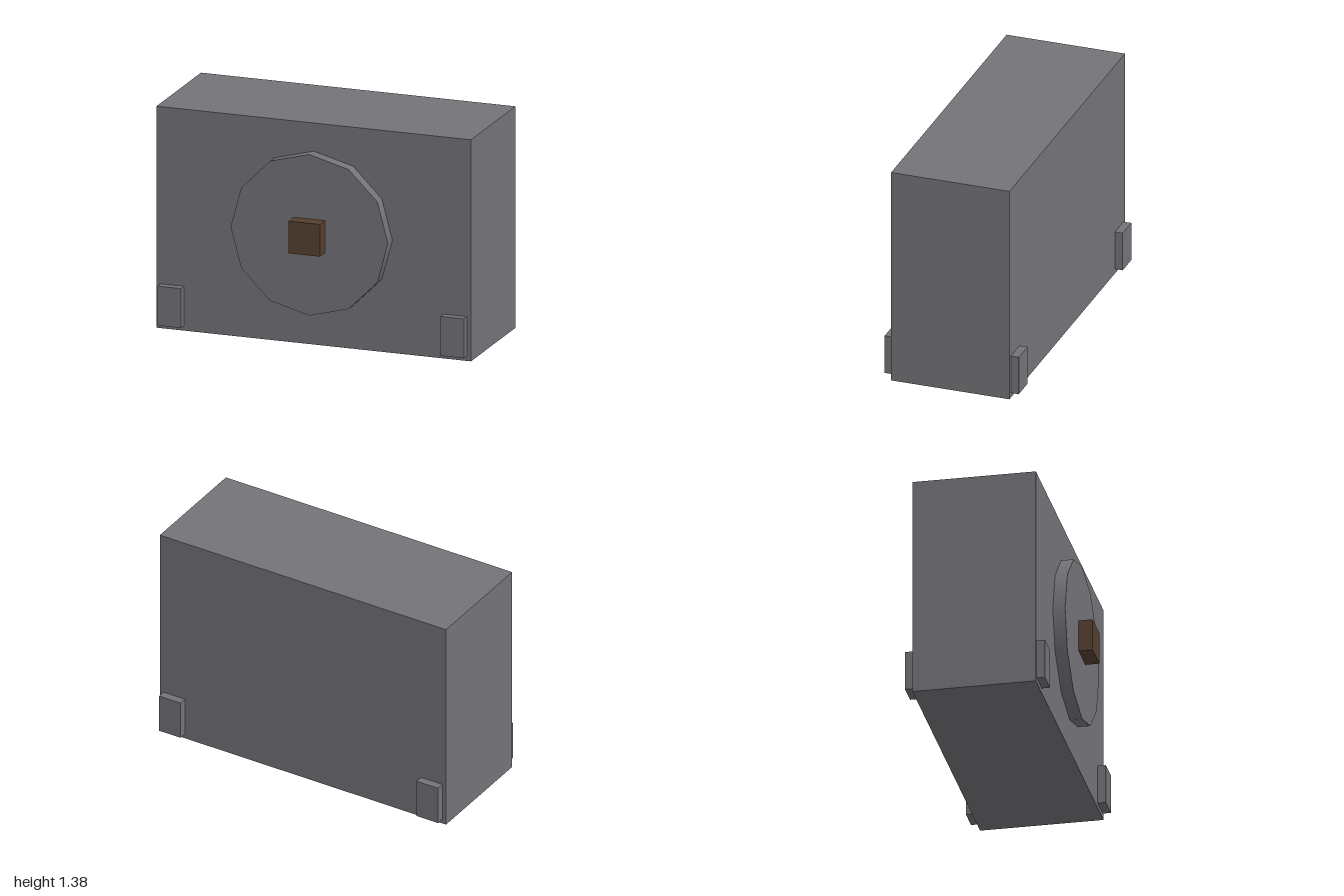
import * as THREE from 'three';

export function createModel() {
  const model = new THREE.Group();
  const grey = new THREE.MeshStandardMaterial({ color: 0x737378 });
  const brown = new THREE.MeshStandardMaterial({ color: 0x553f2f });

  function add(name, geometry, material, x, y, z) {
    const mesh = new THREE.Mesh(geometry, material);
    mesh.name = name;
    mesh.position.set(x, y, z);
    model.add(mesh);
    return mesh;
  }

  // Main block
  const front = 0.32, back = -0.43, height = 1.375;
  add('body', new THREE.BoxGeometry(2, height, front - back), grey, 0, height / 2, (front + back) / 2);

  // Twelve-sided disc on the front, with smooth sides
  const disc = new THREE.CylinderGeometry(0.5, 0.5, 0.075, 12).rotateX(Math.PI / 2);
  add('frontDisc', disc, grey, 0, 0.7, front + 0.0375);

  // Square knob in the middle of the disc
  add('knob', new THREE.BoxGeometry(0.2, 0.2, 0.085), brown, 0, 0.7, 0.4375);

  // Small pads near the lower corners, front and back
  const pad = new THREE.BoxGeometry(0.15, 0.245, 0.05);
  for (const [side, x] of [['Left', 0.9], ['Right', -0.9]]) {
    add('frontPad' + side, pad, grey, x, 0.1525, front + 0.025);
    add('backPad' + side, pad, grey, x, 0.1525, back - 0.025);
  }

  return model;
}
